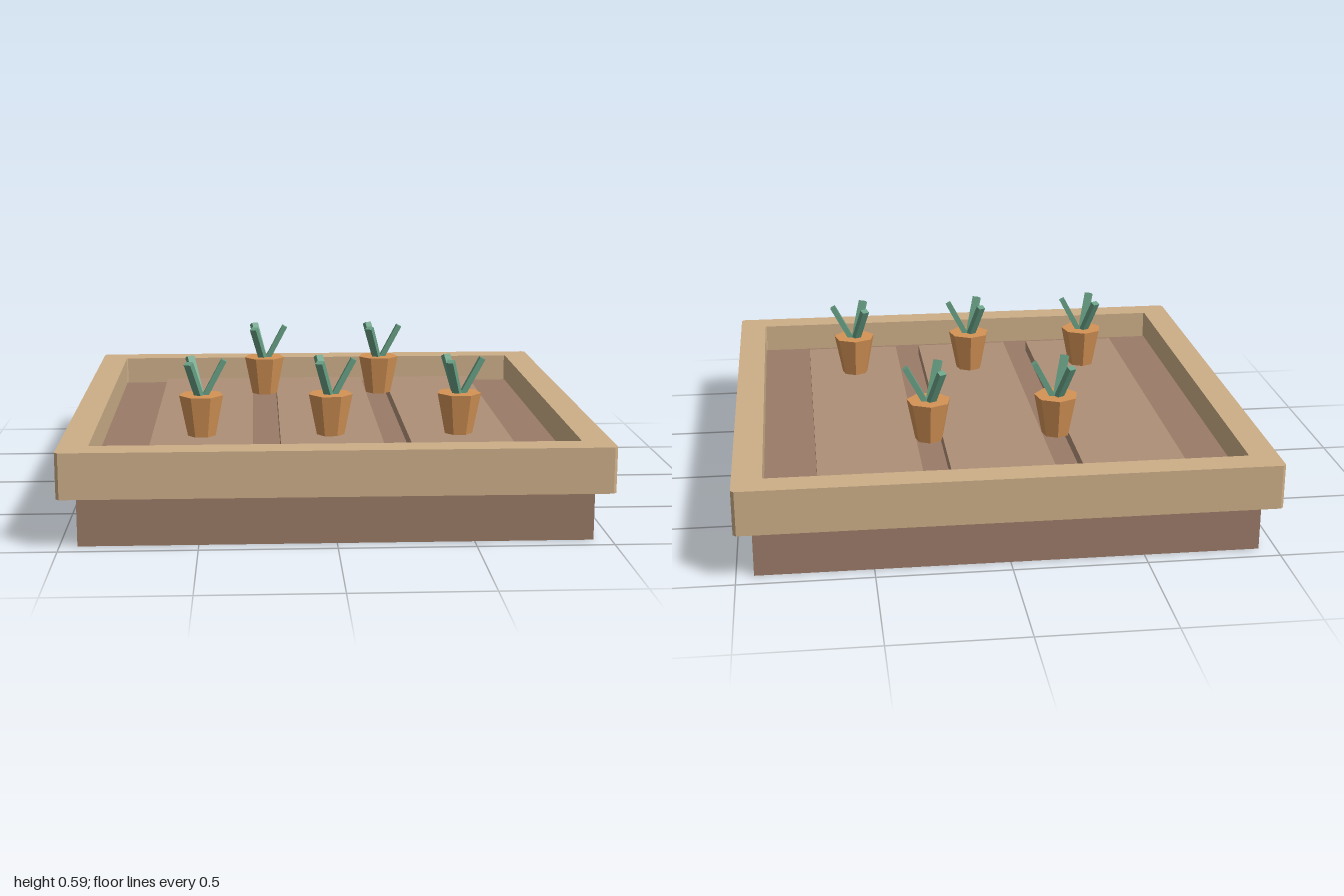
import * as THREE from 'three';

const mat = (color) => new THREE.MeshStandardMaterial({ color, flatShading: true });

function add(parent, name, geometry, material, x = 0, y = 0, z = 0) {
  const mesh = new THREE.Mesh(geometry, material);
  mesh.name = name;
  mesh.position.set(x, y, z);
  parent.add(mesh);
  return mesh;
}

// Square outline with small clipped corners
function squareOutline(half, clip) {
  const c = half - clip;
  return [[half, -c], [half, c], [c, half], [-c, half], [-half, c], [-half, -c], [-c, -half], [c, -half]]
    .map(([x, y]) => new THREE.Vector2(x, y));
}

export function createModel() {
  const model = new THREE.Group();
  model.name = 'planterBed';
  const soil = mat(0x9b7b68);
  const bedSoil = mat(0xaf8f77);
  const wood = mat(0xcdaf88);
  const clay = mat(0xd49355);
  const green = mat(0x68a085);

  // Soil block that carries everything
  add(model, 'soilBase', new THREE.BoxGeometry(1.87, 0.245, 1.87), soil, 0, 0.1225, 0);

  // Overhanging wooden frame
  const outline = new THREE.Shape(squareOutline(1, 0.012));
  outline.holes.push(new THREE.Path(squareOutline(0.89, 0.004).reverse()));
  const frame = new THREE.ExtrudeGeometry(outline, { depth: 0.17, bevelEnabled: false });
  frame.rotateX(-Math.PI / 2);
  add(model, 'woodenFrame', frame, wood, 0, 0.19, 0);

  // Three raised planting rows
  const row = new THREE.BoxGeometry(0.392, 0.06, 1.49);
  for (const x of [-0.497, 0, 0.497]) add(model, 'plantingRow', row, bedSoil, x, 0.26, -0.003);

  // Seven-sided tapered pots, each with three splayed leaves
  const pot = new THREE.CylinderGeometry(0.087, 0.055, 0.16, 7);
  pot.rotateY(Math.PI);
  const leaf = new THREE.BoxGeometry(0.022, 0.19, 0.03);
  leaf.translate(0, 0.095, 0);
  leaf.rotateZ(-0.49);

  const spots = [[-0.5, 0.423], [0, 0.423], [0.5, 0.423], [-0.25, -0.405], [0.25, -0.405]];
  for (const [x, z] of spots) {
    const plant = new THREE.Group();
    plant.name = 'pottedPlant';
    plant.position.set(x, 0.29, z);
    add(plant, 'pot', pot, clay, 0, 0.08, 0);
    for (let i = 0; i < 3; i++) {
      add(plant, 'leaf', leaf, green, 0, 0.127, 0).rotation.y = (i * Math.PI * 2) / 3;
    }
    model.add(plant);
  }
  return model;
}
